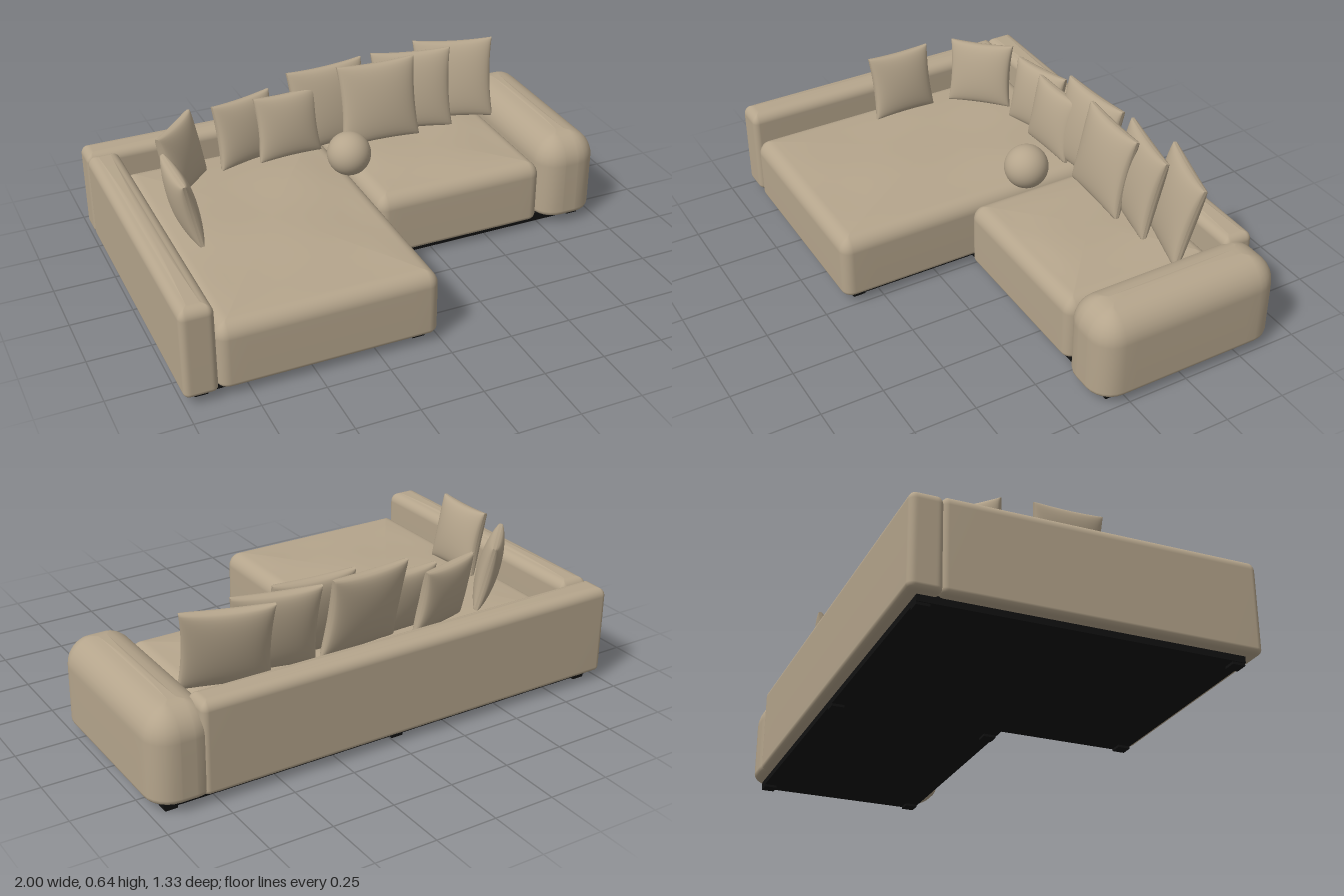
import * as THREE from 'three';

const fabric = new THREE.MeshStandardMaterial({ color: 0xb5a58c });
fabric.name = 'beigeFabric';
const black = new THREE.MeshStandardMaterial({ color: 0x111111 });
black.name = 'blackBase';

// Rounded rectangle outline, with subdivided straight runs
function outline(hw, hd, inset, radius) {
  const r = Math.max(radius - inset, 0.002);
  const cx = hw - inset - r, cz = hd - inset - r;
  const corners = [[1, 1], [-1, 1], [-1, -1], [1, -1]];
  const arcs = corners.map(([sx, sz], q) => {
    const pts = [];
    for (let i = 0; i <= 6; i++) {
      const a = (q + i / 6) * Math.PI / 2;
      pts.push([sx * cx + r * Math.cos(a), sz * cz + r * Math.sin(a)]);
    }
    return pts;
  });
  const out = [];
  arcs.forEach((arc, q) => {
    out.push(...arc);
    const a = arc[6], b = arcs[(q + 1) % 4][0];
    for (let i = 1; i < 12; i++) {
      const t = i / 12;
      out.push([a[0] + (b[0] - a[0]) * t, a[1] + (b[1] - a[1]) * t]);
    }
  });
  return out;
}

// Upholstered block: stacked outlines, separate top and bottom rounding, crowned top
function softBlock(name, [x0, x1], [y0, y1], [z0, z1], { corner, top, bottom = 0.02, crown = 0, wave = 0 }) {
  const hw = (x1 - x0) / 2, hd = (z1 - z0) / 2;
  const rings = [];
  const addRing = (inset, y, scale = 1) => rings.push(outline(hw, hd, inset, corner).map(([x, z]) => {
    const px = x * scale, pz = z * scale, s = 1 - scale;
    const ripple = wave * Math.min(1, s * 5) * (Math.sin(px * 13 + pz * 5) + Math.sin(pz * 11 - px * 7));
    return [px, y + ripple, pz];
  }));
  addRing(bottom, y0, 0);
  for (let i = 0; i <= 4; i++) {
    const a = i / 4 * Math.PI / 2;
    addRing(bottom * (1 - Math.sin(a)), y0 + bottom * (1 - Math.cos(a)));
  }
  const yTop = y1 - crown;
  for (let i = 0; i <= 8; i++) {
    const a = i / 8 * Math.PI / 2;
    addRing(top * (1 - Math.cos(a)), yTop - top * (1 - Math.sin(a)));
  }
  for (let i = 1; i <= 10; i++) {
    const s = 1 - i / 10;
    addRing(top, yTop + crown * (1 - s ** 3), s);
  }
  const n = rings[0].length, index = [];
  for (let j = 0; j < rings.length - 1; j++) {
    for (let i = 0; i < n; i++) {
      const a = j * n + i, b = j * n + (i + 1) % n;
      index.push(a, a + n, b, b, a + n, b + n);
    }
  }
  const g = new THREE.BufferGeometry();
  g.setAttribute('position', new THREE.Float32BufferAttribute(rings.flat(2), 3));
  g.setIndex(index);
  g.computeVertexNormals();
  const mesh = new THREE.Mesh(g, fabric);
  mesh.name = name;
  mesh.position.set((x0 + x1) / 2, 0, (z0 + z1) / 2);
  return mesh;
}

// Throw pillow: puffed middle, thin seam, edges drawn in between pointed corners
function pillowGeometry(size, thick) {
  const g = new THREE.BoxGeometry(2, 2, 2, 20, 20, 1);
  const p = g.attributes.position;
  for (let i = 0; i < p.count; i++) {
    const u = Math.sin(p.getX(i) * Math.PI / 2), v = Math.sin(p.getY(i) * Math.PI / 2);
    const puff = Math.pow(Math.max(0, (1 - u * u) * (1 - v * v)), 0.4);
    p.setXYZ(i,
      size / 2 * u * (1 - 0.07 * (1 - v * v)),
      size / 2 * v * (1 - 0.05 * (1 - u * u)),
      Math.sign(p.getZ(i)) * (0.006 + (thick / 2 - 0.006) * puff));
  }
  g.computeVertexNormals();
  return g;
}

function box(name, [x0, x1], [y0, y1], [z0, z1]) {
  const mesh = new THREE.Mesh(new THREE.BoxGeometry(x1 - x0, y1 - y0, z1 - z0), black);
  mesh.name = name;
  mesh.position.set((x0 + x1) / 2, (y0 + y1) / 2, (z0 + z1) / 2);
  return mesh;
}

export function createModel() {
  const sofa = new THREE.Group();
  sofa.name = 'cornerSofa';

  // Frame and seats
  sofa.add(
    softBlock('backrest', [-1, 0.81], [0.035, 0.405], [-0.665, -0.54], { corner: 0.025, top: 0.035, crown: 0.005 }),
    softBlock('slimArm', [-1, -0.87], [0.035, 0.41], [-0.55, 0.66], { corner: 0.025, top: 0.04, crown: 0.005 }),
    softBlock('wideArm', [0.735, 1], [0.035, 0.395], [-0.665, 0.13], { corner: 0.1, top: 0.115, bottom: 0.025, crown: 0.003 }),
    softBlock('chaiseSeat', [-0.87, -0.004], [0.035, 0.314], [-0.545, 0.66], { corner: 0.045, top: 0.06, crown: 0.012, wave: 0.002 }),
    softBlock('shortSeat', [0.0, 0.735], [0.035, 0.314], [-0.545, 0.105], { corner: 0.045, top: 0.06, crown: 0.012, wave: 0.002 }),
  );

  // Recessed plinths and feet
  sofa.add(
    box('chaisePlinth', [-0.955, -0.04], [0.01, 0.045], [-0.62, 0.61]),
    box('shortPlinth', [-0.04, 0.95], [0.01, 0.045], [-0.62, 0.075]),
  );
  for (const [x, z] of [[-0.925, 0.585], [-0.07, 0.585], [-0.925, -0.595], [-0.03, -0.595], [0.92, -0.595], [0.03, 0.045], [0.92, 0.045]]) {
    sofa.add(box('foot', [x - 0.025, x + 0.025], [0, 0.03], [z - 0.025, z + 0.025]));
  }

  // Pillows: x, z, yaw, lean, size
  const small = pillowGeometry(0.275, 0.09), large = pillowGeometry(0.345, 0.1);
  const pillows = [
    [-0.775, 0.01, Math.PI / 2, 0.2, small],
    [-0.67, -0.325, 0.8, 0.22, small],
    [-0.365, -0.43, 0.25, 0.2, small],
    [-0.19, -0.4, 0.04, 0.2, small],
    [0.01, -0.44, 0.08, 0.22, large],
    [0.215, -0.385, -0.05, 0.22, large],
    [0.39, -0.425, -0.22, 0.22, large],
    [0.6, -0.45, -0.3, 0.26, large],
  ];
  for (const [x, z, yaw, lean, geometry] of pillows) {
    const pillow = new THREE.Mesh(geometry, fabric);
    pillow.name = 'pillow';
    pillow.rotation.set(-lean, yaw, 0, 'YXZ');
    pillow.position.set(x, geometry === small ? 0.442 : 0.474, z);
    sofa.add(pillow);
  }

  // Round cushion
  const ball = new THREE.Mesh(new THREE.SphereGeometry(0.09, 40, 24), fabric);
  ball.name = 'ballCushion';
  ball.position.set(-0.015, 0.385, -0.165);
  sofa.add(ball);

  return sofa;
}
